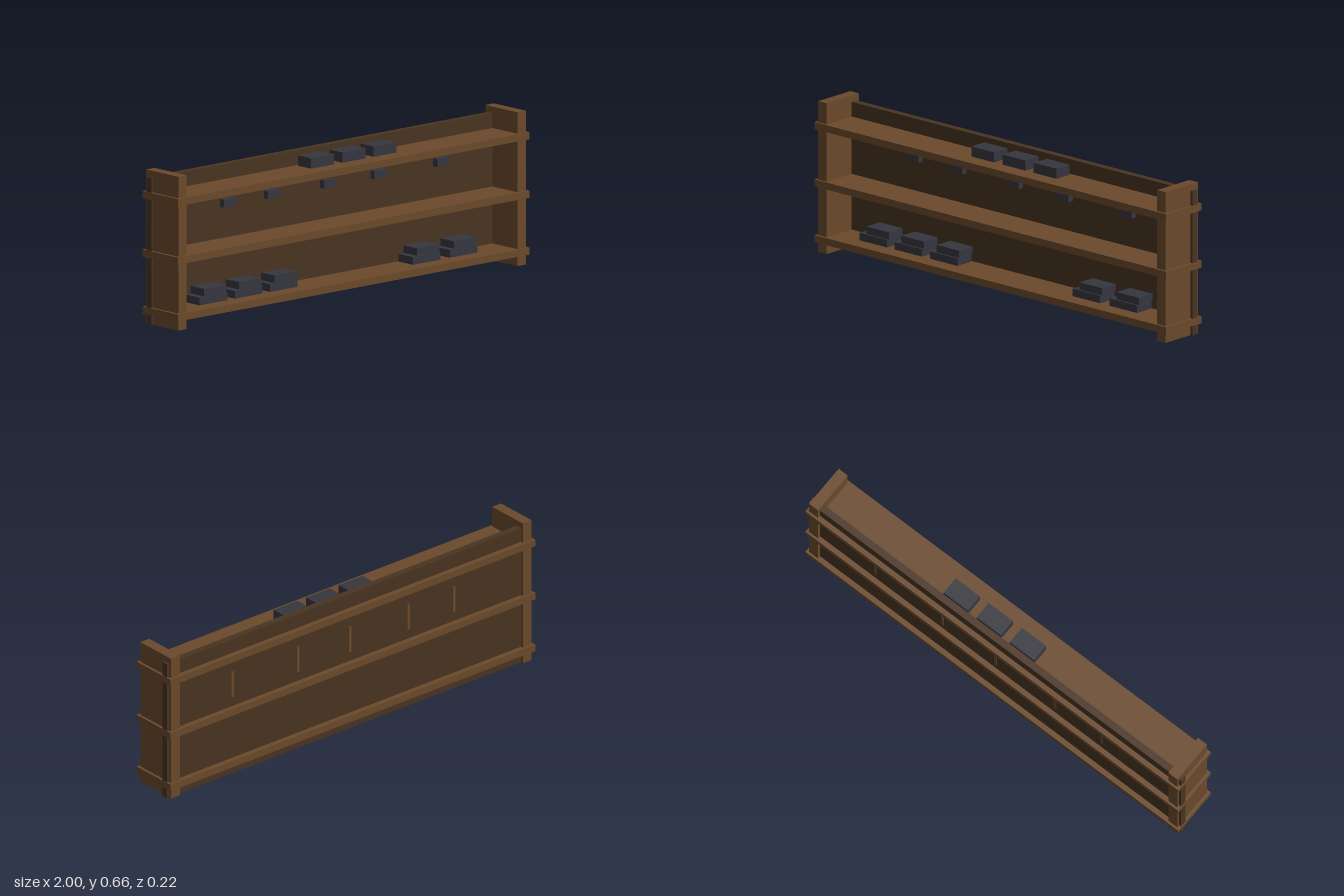
import * as THREE from 'three';

const material = (name, color) => {
  const m = new THREE.MeshStandardMaterial({ color });
  m.name = name;
  return m;
};

export function createModel() {
  const wood = material('wood', 0x6b4a2b);
  const darkWood = material('dark wood', 0x493420);
  const iron = material('dark iron', 0x36363f);
  const model = new THREE.Group();
  model.name = 'wallShelf';

  // Box given by its lower and upper corners
  const box = (name, mat, [x0, y0, z0], [x1, y1, z1], parent = model) => {
    const mesh = new THREE.Mesh(new THREE.BoxGeometry(x1 - x0, y1 - y0, z1 - z0), mat);
    mesh.position.set((x0 + x1) / 2, (y0 + y1) / 2, (z0 + z1) / 2);
    mesh.name = name;
    parent.add(mesh);
  };

  // Frame: end boards, back panel and three shelves
  box('leftEndBoard', wood, [0.94, 0, -0.1], [0.988, 0.66, 0.1]);
  box('rightEndBoard', wood, [-0.988, 0, -0.1], [-0.94, 0.66, 0.1]);
  box('backPanel', darkWood, [-0.998, 0, -0.087], [0.998, 0.632, -0.056]);
  for (const y of [0.042, 0.286, 0.537]) {
    box('shelf', wood, [-1, y, -0.11], [1, y + 0.031, 0.11]);
  }

  // Ingots on the top shelf
  for (const x of [-0.175, 0.003, 0.18]) {
    box('ingot', iron, [x, 0.568, -0.045], [x + 0.13, 0.612, 0.037]);
  }

  // Stepped blocks on the bottom shelf
  for (const x of [-0.81, -0.61, -0.41, 0.402, 0.612]) {
    const block = new THREE.Group();
    block.name = 'steppedBlock';
    box('blockBase', iron, [x, 0.073, -0.05], [x + 0.157, 0.106, 0.038], block);
    box('blockTop', iron, [x + 0.032, 0.106, -0.054], [x + 0.16, 0.138, 0.03], block);
    model.add(block);
  }

  // Tools on the wall, their handles just showing through the panel
  for (const x of [-0.573, -0.323, -0.003, 0.282, 0.64]) {
    const tool = new THREE.Group();
    tool.name = 'hangingTool';
    box('toolHead', iron, [x - 0.036, 0.452, -0.066], [x + 0.036, 0.486, -0.03], tool);
    box('toolHandle', wood, [x - 0.007, 0.36, -0.089], [x + 0.007, 0.48, -0.06], tool);
    model.add(tool);
  }
  return model;
}
